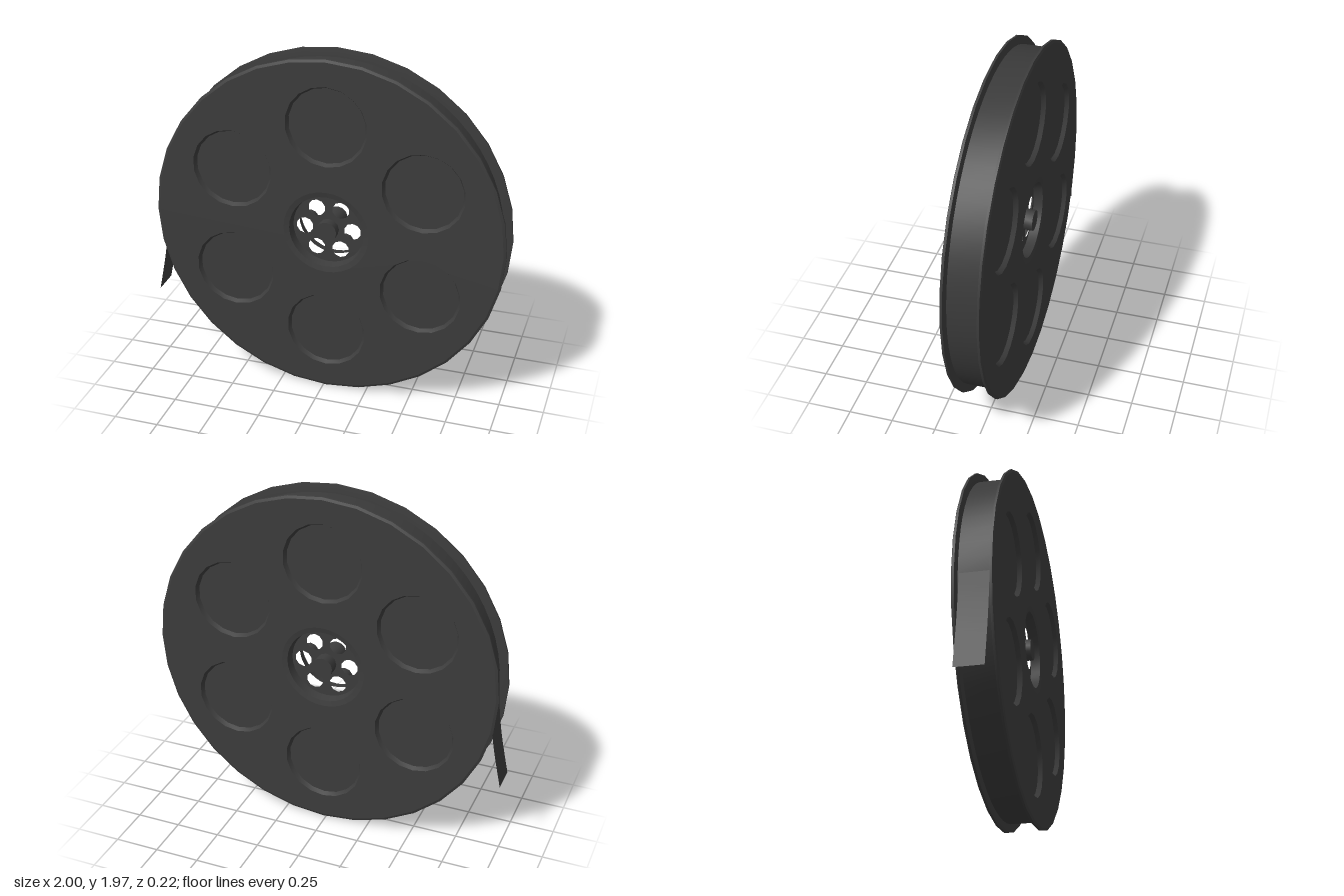
import * as THREE from 'three';
import { toCreasedNormals } from 'three/addons/utils/BufferGeometryUtils.js';

const CY = 0.985, CX = 0.016;      // reel axis
const RIM = 0.984, FILM = 0.935;   // flange and film radii
const FACE = 0.106, INNER = 0.082; // outer and inner z of a flange
const TAU = Math.PI * 2;

const metal = new THREE.MeshStandardMaterial({ color: 0x3c3c3c });
const film = new THREE.MeshStandardMaterial({ color: 0x3a3a3a, side: THREE.DoubleSide });

function add(parent, name, geometry, material = metal) {
  const mesh = new THREE.Mesh(geometry, material);
  mesh.name = name;
  parent.add(mesh);
  return mesh;
}

// Profile of [radius, z] pairs turned about the z axis
function turn(profile, sides) {
  const points = profile.map(([r, z]) => new THREE.Vector2(r, z));
  const geometry = new THREE.LatheGeometry(points, sides).rotateX(Math.PI / 2);
  return toCreasedNormals(geometry, 0.5);
}

// Regular polygon with its first corner at the top
function ring(r, sides, x = 0, y = 0) {
  return Array.from({ length: sides }, (_, i) => {
    const a = (i / sides) * TAU;
    return new THREE.Vector2(x + r * Math.sin(a), y + r * Math.cos(a));
  });
}

const hole = (...args) => new THREE.Path(ring(...args));

// Six positions spaced evenly around the axis
const six = (r, start) => Array.from({ length: 6 }, (_, i) => {
  const a = start + (i / 6) * TAU;
  return [r * Math.cos(a), r * Math.sin(a)];
});

// One side of the reel, facing +z
function flange() {
  const group = new THREE.Group();
  const windows = six(0.613, Math.PI / 6);

  const face = new THREE.Shape(ring(0.97, 32));
  face.holes.push(hole(0.24, 32));
  for (const [x, y] of windows) face.holes.push(hole(0.225, 18, x, y));
  add(group, 'flangeFace', new THREE.ShapeGeometry(face).translate(0, 0, FACE));

  add(group, 'flangeRim', turn([
    [0.9, INNER], [FILM, INNER], [RIM, 0.088], [RIM, 0.1], [0.97, FACE],
  ], 32));

  // Shallow windows with sloping walls
  for (const [x, y] of windows) {
    const cup = turn([[0.225, FACE], [0.212, INNER], [0, INNER]], 18);
    add(group, 'window', cup).position.set(x, y, 0);
  }

  add(group, 'hubRecess', turn([[0.24, FACE], [0.21, 0.1], [0.202, 0.05]], 32));
  return group;
}

export function createModel() {
  const model = new THREE.Group();
  model.name = 'filmReel';
  const reel = new THREE.Group();
  reel.name = 'reel';
  reel.position.set(CX, CY, 0);
  model.add(reel);

  // Matching flanges at the front and back
  const front = flange();
  front.name = 'frontFlange';
  const back = flange();
  back.name = 'backFlange';
  back.rotation.y = Math.PI;
  reel.add(front, back);

  // Hub plate pierced by six holes
  const plate = new THREE.Shape(ring(0.205, 32));
  for (const [x, y] of six(0.135, 0)) plate.holes.push(hole(0.048, 10, x, y));
  const hub = new THREE.ExtrudeGeometry(plate, { depth: 0.1, bevelEnabled: false });
  add(reel, 'hubPlate', toCreasedNormals(hub.translate(0, 0, -0.05), 0.7));

  // Centre spindle, slightly proud at the back
  const spindle = new THREE.CylinderGeometry(0.058, 0.058, 0.21, 12).rotateX(Math.PI / 2);
  add(reel, 'spindle', toCreasedNormals(spindle, 0.7)).position.z = -0.006;

  // Wound film
  add(reel, 'filmRoll', turn([[FILM, -INNER], [FILM, INNER]], 64), film);

  // Loose end of the film leaving the roll
  const path = new THREE.CatmullRomCurve3([
    [CX - FILM, CY], [-0.93, 0.85], [-0.95, 0.7], [-0.975, 0.57], [-1, 0.45],
  ].map(([x, y]) => new THREE.Vector3(x, y, 0)));
  const strip = new THREE.PlaneGeometry(1, 0.154, 12, 1);
  const pos = strip.attributes.position;
  for (let i = 0; i < pos.count; i++) {
    const p = path.getPoint(pos.getX(i) + 0.5);
    pos.setXYZ(i, p.x, p.y, pos.getY(i));
  }
  strip.computeVertexNormals();
  add(model, 'filmTail', strip, film);

  return model;
}
